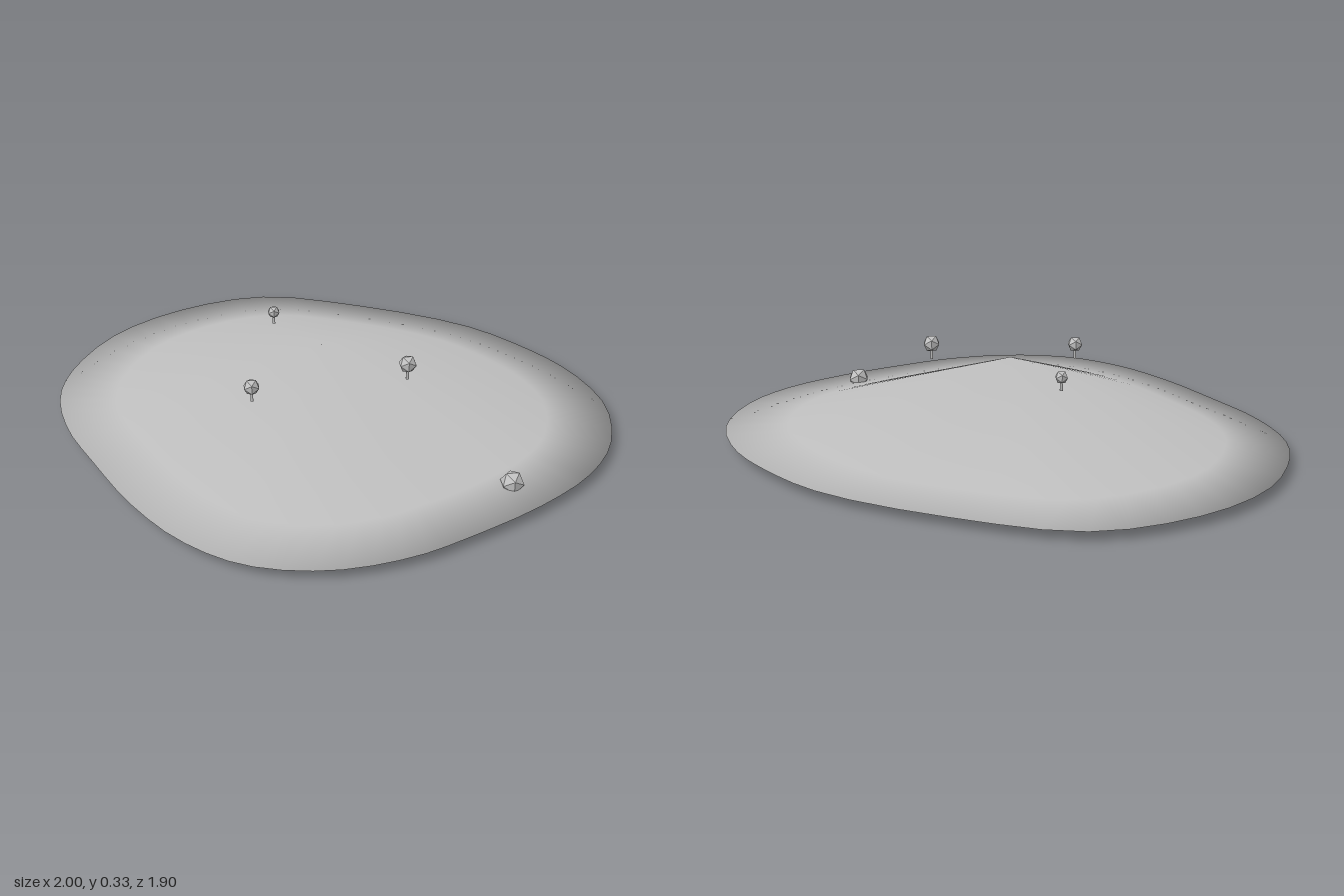
import * as THREE from 'three';

const CENTRE = new THREE.Vector3(-0.04, 0, 0);

// Coastline as x, z pairs, clockwise from the back
const COAST = [
  [-0.19, -0.95], [0.2, -0.82], [0.61, -0.59], [0.81, -0.375], [0.94, -0.16], [1, 0.1],
  [0.94, 0.36], [0.81, 0.54], [0.61, 0.69], [0.35, 0.825], [0.14, 0.91], [-0.12, 0.945],
  [-0.37, 0.89], [-0.56, 0.75], [-0.72, 0.535], [-0.855, 0.27], [-0.96, 0.03],
  [-1, -0.21], [-0.955, -0.42], [-0.8, -0.68], [-0.53, -0.87],
];

// Rings from the hilltop, over the shore, to the point underneath:
// scale of the coastline, height, outward and upward parts of the soft normal
const RINGS = [
  [0, 0.3, 0, 1],
  [0.78, 0.05, 0.15, 1],
  [1, 0.035, 1, 0.15],
  [0, 0, 0, -1],
];

function islandGeometry(segments) {
  const curve = new THREE.CatmullRomCurve3(
    COAST.map(([x, z]) => new THREE.Vector3(x, 0, z)), true);
  const positions = [], normals = [], index = [];
  for (const [scale, y, out, up] of RINGS) {
    for (let i = 0; i < segments; i++) {
      const p = curve.getPoint(i / segments).sub(CENTRE).multiplyScalar(scale).add(CENTRE);
      const t = curve.getTangent(i / segments);
      const n = new THREE.Vector3(t.z * out, up, -t.x * out).normalize();
      positions.push(p.x, y, p.z);
      normals.push(n.x, n.y, n.z);
    }
  }
  for (let r = 0; r < RINGS.length - 1; r++) {
    for (let i = 0; i < segments; i++) {
      const j = (i + 1) % segments;
      const a = r * segments + i, b = r * segments + j;
      const c = a + segments, d = b + segments;
      if (RINGS[r + 1][0] > 0) index.push(a, d, c);
      if (RINGS[r][0] > 0) index.push(a, b, d);
      if (RINGS[r + 1][0] === 0) continue;
    }
  }
  const geometry = new THREE.BufferGeometry();
  geometry.setAttribute('position', new THREE.Float32BufferAttribute(positions, 3));
  geometry.setAttribute('normal', new THREE.Float32BufferAttribute(normals, 3));
  geometry.setIndex(index);
  return geometry;
}

export function createModel() {
  const model = new THREE.Group();
  model.name = 'island';
  const grey = new THREE.MeshStandardMaterial({ color: 0xc0c0c0 });
  grey.name = 'stone grey';

  const add = (parent, name, geometry, x, y, z) => {
    const mesh = new THREE.Mesh(geometry, grey);
    mesh.name = name;
    mesh.position.set(x, y, z);
    parent.add(mesh);
    return mesh;
  };

  add(model, 'land', islandGeometry(60), 0, 0, 0);

  // Small trees: x, z, foot height, crown height, crown radius
  const trees = [
    [-0.305, 0.235, 0.222, 0.277, 0.03],
    [-0.19, -0.27, 0.255, 0.302, 0.024],
    [0.24, 0.187, 0.245, 0.304, 0.033],
  ];
  for (const [x, z, foot, top, radius] of trees) {
    const tree = new THREE.Group();
    tree.name = 'tree';
    tree.position.set(x, foot, z);
    const height = top - foot;
    add(tree, 'trunk', new THREE.CylinderGeometry(0.004, 0.006, height, 6), 0, height / 2, 0);
    add(tree, 'crown', new THREE.IcosahedronGeometry(radius, 0), 0, height, 0);
    model.add(tree);
  }

  // Boulder on the shore
  add(model, 'rock', new THREE.IcosahedronGeometry(0.042, 0), 0.53, 0.055, 0.58);

  return model;
}
